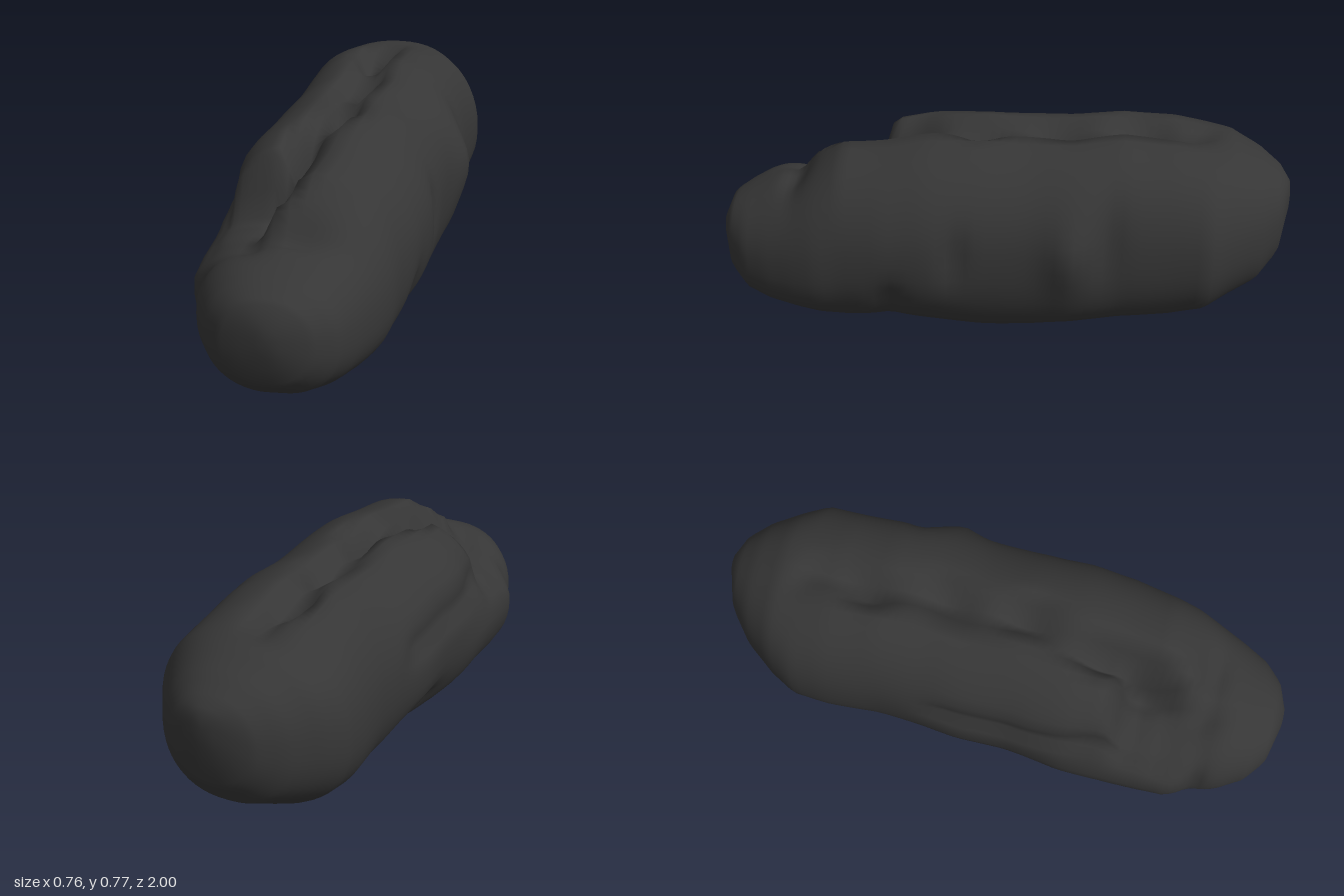
import * as THREE from 'three';

// Cross-sections: z, min x, max x, min y, max y
const SECTIONS = [
  [-1.0, -0.01, 0.07, 0.49, 0.6],
  [-0.97, -0.12, 0.16, 0.33, 0.64],
  [-0.9, -0.21, 0.23, 0.23, 0.69],
  [-0.8, -0.29, 0.29, 0.17, 0.735],
  [-0.72, -0.33, 0.34, 0.12, 0.745],
  [-0.6, -0.335, 0.335, 0.085, 0.77],
  [-0.42, -0.33, 0.33, 0.065, 0.785],
  [-0.25, -0.34, 0.35, 0.04, 0.76],
  [-0.12, -0.355, 0.34, 0.02, 0.755],
  [0.05, -0.36, 0.33, 0.01, 0.76],
  [0.25, -0.39, 0.335, 0.02, 0.74],
  [0.4, -0.39, 0.325, 0.03, 0.71],
  [0.55, -0.39, 0.295, 0.005, 0.69],
  [0.64, -0.385, 0.285, 0.01, 0.62],
  [0.72, -0.345, 0.26, 0.025, 0.555],
  [0.82, -0.31, 0.22, 0.045, 0.5],
  [0.91, -0.26, 0.17, 0.08, 0.455],
  [0.97, -0.19, 0.1, 0.14, 0.42],
  [1.0, -0.07, 0.01, 0.25, 0.35],
];
const SIDES = 52;
const RINGS = 76;

const { smoothstep, lerp } = THREE.MathUtils;
const bump = (v, centre, width) => Math.exp(-(((v - centre) / width) ** 2));

function sectionAt(z) {
  let i = 0;
  while (i < SECTIONS.length - 2 && SECTIONS[i + 1][0] < z) i++;
  const a = SECTIONS[i], b = SECTIONS[i + 1];
  const t = (z - a[0]) / (b[0] - a[0]);
  return a.map((v, k) => lerp(v, b[k], t));
}

// One point on the lumpy skin
function skinPoint(z, angle) {
  const [, x0, x1, y0, y1] = sectionAt(z);
  const c = Math.cos(angle), s = Math.sin(angle), power = 2 / 2.25;
  const cx = (x0 + x1) / 2, cy = (y0 + y1) / 2;
  let dx = Math.sign(c) * Math.abs(c) ** power * (x1 - x0) / 2;
  let dy = Math.sign(s) * Math.abs(s) ** power * (y1 - y0) / 2;
  const x = cx + dx, y = cy + dy;
  const ends = smoothstep(1 - Math.abs(z), 0, 0.25);

  // wandering groove along the top, with a shallow one underneath
  const grooveX = -0.02 - 0.08 * smoothstep(z, 0, 0.5) + 0.012 * Math.sin(z * 17);
  const groove = smoothstep(z, -0.78, -0.55) * (1 - smoothstep(z, 0.5, 0.66));
  const depth = 0.1 + 0.05 * smoothstep(z, 0.1, 0.4) + 0.025 * Math.sin(z * 23);
  if (s > 0) dy -= depth * groove * bump(x, grooveX, 0.045);
  else dy += 0.012 * ends * bump(x, -0.02, 0.04) * smoothstep(z, -0.3, 0.1);

  // the left lobe stops short of the front
  const step = smoothstep(z, 0.38, 0.47) * (1 - smoothstep(z, 0.5, 0.86));
  const left = 1 - smoothstep(x, grooveX - 0.06, grooveX + 0.03);
  if (s > 0) dy -= 0.23 * step * left * s;

  // crease in front of the right lobe
  if (s > 0) dy -= 0.045 * s * bump(z, 0.72, 0.05) * bump(x, -0.02, 0.12);

  // low bulge on the left flank towards the front, knob on the right flank
  if (c < 0) dx += 0.045 * -c * smoothstep(y, 0.28, 0.5) * smoothstep(z, 0.1, 0.4) * (1 - smoothstep(z, 0.6, 0.75));
  else dx += 0.035 * bump(z, -0.25, 0.07) * bump(y, 0.45, 0.12);

  // creases below the left lobe and dents in both flanks
  const lobe = smoothstep(z, -0.3, -0.15) * (1 - smoothstep(z, 0.35, 0.5));
  const dent = c < 0
    ? 0.035 * lobe * bump(y, 0.5, 0.04) + 0.07 * bump(z, -0.08, 0.14) * bump(y, 0.14, 0.08)
      + 0.03 * bump(z, 0.73, 0.03) * bump(y, 0.33, 0.12)
    : 0.02 * bump(z, -0.38, 0.04) * bump(y, 0.5, 0.14) + 0.025 * bump(z, 0.14, 0.04) * bump(y, 0.42, 0.1)
      + 0.025 * bump(z, 0.38, 0.05) * bump(y, 0.2, 0.1);
  // faint uneven swelling
  const wave = 0.005 * Math.sin(z * 9 + 2 * angle) * Math.cos(3 * angle - z * 4);
  const scale = 1 + ends * (wave - dent) / 0.35;
  return [cx + dx * scale, Math.max(0, cy + dy * scale), z];
}

function bodyGeometry() {
  const points = [], index = [];
  for (let i = 0; i <= RINGS; i++) {
    const t = i / RINGS;
    const z = lerp(2 * t - 1, -Math.cos(t * Math.PI), 0.5);
    for (let j = 0; j < SIDES; j++) points.push(...skinPoint(z, (j / SIDES) * Math.PI * 2));
  }
  for (let i = 0; i < RINGS; i++) {
    for (let j = 0; j < SIDES; j++) {
      const k = (j + 1) % SIDES;
      const a = i * SIDES + j, b = i * SIDES + k, c = a + SIDES, d = b + SIDES;
      index.push(a, b, c, b, d, c);
    }
  }
  // close both ends
  const back = points.length / 3, front = back + 1, last = RINGS * SIDES;
  points.push(0.03, 0.545, -1, -0.03, 0.3, 1);
  for (let j = 0; j < SIDES; j++) {
    const k = (j + 1) % SIDES;
    index.push(back, k, j, front, last + j, last + k);
  }
  const geometry = new THREE.BufferGeometry();
  geometry.setAttribute('position', new THREE.Float32BufferAttribute(points, 3));
  geometry.setIndex(index);
  geometry.computeVertexNormals();
  return geometry;
}

export function createModel() {
  const group = new THREE.Group();
  const charcoal = new THREE.MeshStandardMaterial({ color: 0x363636 });
  charcoal.name = 'charcoal';
  const body = new THREE.Mesh(bodyGeometry(), charcoal);
  body.name = 'lumpyBody';
  group.add(body);
  return group;
}
